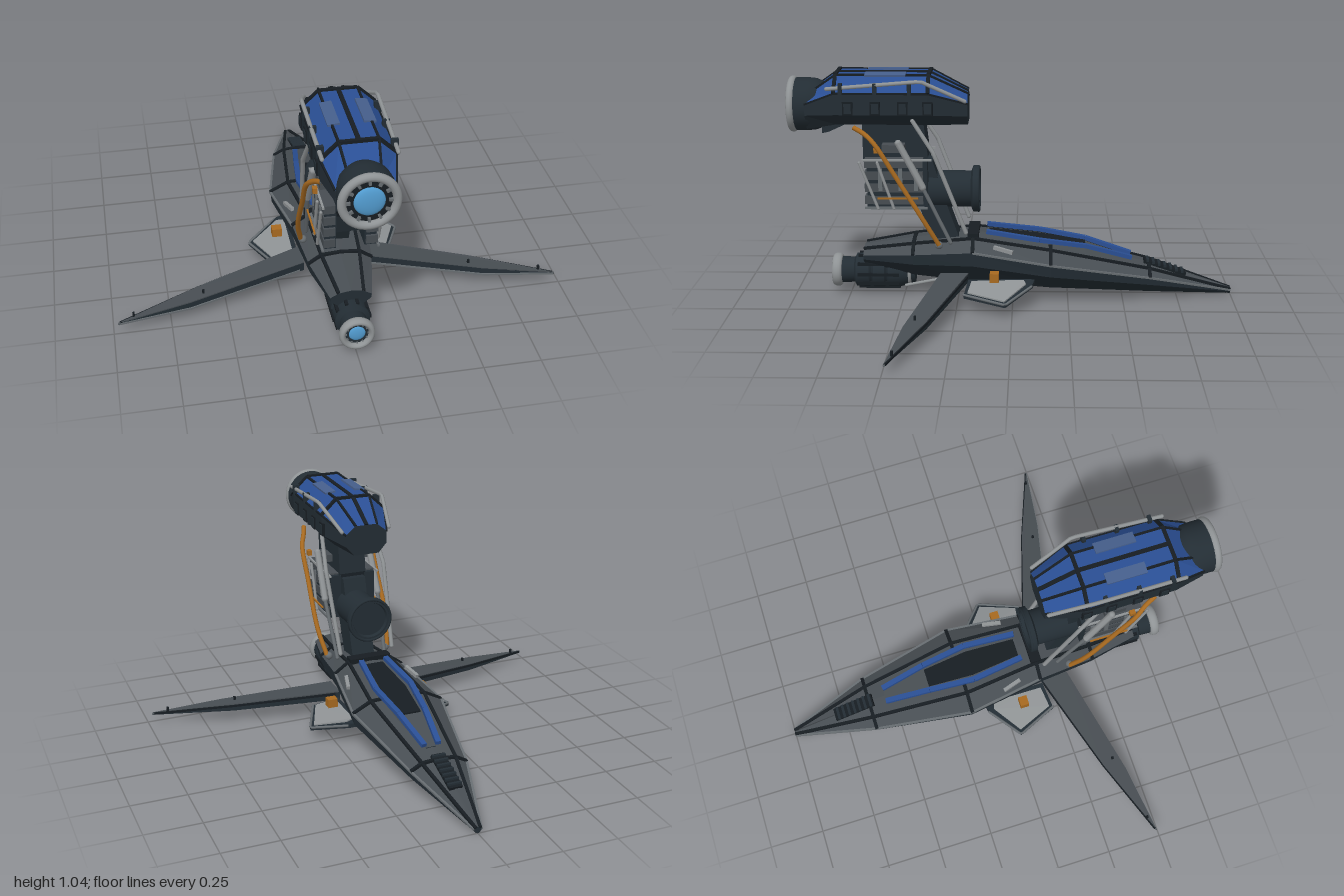
import * as THREE from 'three';
import { toCreasedNormals } from 'three/addons/utils/BufferGeometryUtils.js';

const mat = (name, color) => Object.assign(new THREE.MeshStandardMaterial({ color }), { name });
const dark = mat('dark slate', 0x232d34), grey = mat('hull grey', 0x474d52), black = mat('seam black', 0x171d22);
const blue = mat('blue paint', 0x2a4f94), panel = mat('pale blue panel', 0x465f8c), light = mat('light metal', 0x8f9395);
const orange = mat('orange', 0xa86a20), glow = mat('engine glow', 0x529cd0), steel = mat('mid steel', 0x666c70);
const V = (p) => new THREE.Vector3(...p);

export function createModel() {
  const root = new THREE.Group();
  const add = (name, geo, m, pos = [0, 0, 0]) => {
    const mesh = new THREE.Mesh(geo, m);
    mesh.name = name;
    mesh.position.set(...pos);
    root.add(mesh);
    return mesh;
  };
  const both = (fn) => [1, -1].forEach(fn);
  const box = (name, size, pos, m) => add(name, new THREE.BoxGeometry(...size), m, pos);
  const fromTris = (tris) => {
    const g = new THREE.BufferGeometry();
    g.setAttribute('position', new THREE.Float32BufferAttribute(tris.flat(), 3));
    g.computeVertexNormals();
    return g;
  };
  // straight square bar between two points
  const bar = (name, a, b, m, w = 0.012, h = w) => {
    const p = V(a), q = V(b);
    const mesh = add(name, new THREE.BoxGeometry(w, h, p.distanceTo(q)), m, p.clone().add(q).multiplyScalar(0.5).toArray());
    mesh.lookAt(q);
  };
  const path = (name, pts, m, w, h) => pts.slice(1).forEach((p, i) => bar(name, pts[i], p, m, w, h));
  // round rod along a polyline
  const rod = (name, pts, m, r = 0.008) => {
    const curve = new THREE.CurvePath();
    pts.slice(1).forEach((p, i) => curve.add(new THREE.LineCurve3(V(pts[i]), V(p))));
    add(name, new THREE.TubeGeometry(curve, 12 * (pts.length - 1), r, 7), m);
    both((e) => add(name + 'End', new THREE.SphereGeometry(r, 7, 5), m, e > 0 ? pts[0] : pts[pts.length - 1]));
  };
  const flip = (pts, s) => pts.map(([x, y, z]) => [x * s, y, z]);
  // faceted mirrored loft: half sections run from top centre to bottom centre, one material per strip
  const loft = (name, sections, stripMats, capMat) => {
    const n = sections[0].pts.length;
    const rings = sections.map(({ z, pts }) => [...pts, ...pts.slice(1, -1).reverse().map(([x, y]) => [-x, y])].map(([x, y]) => [x, y, z]));
    const buckets = new Map();
    const put = (m, ...t) => buckets.set(m, [...(buckets.get(m) || []), ...t]);
    const count = rings[0].length;
    for (let i = 0; i < rings.length - 1; i++) for (let j = 0; j < count; j++) {
      const k = (j + 1) % count, a = rings[i][j], b = rings[i][k], c = rings[i + 1][k], d = rings[i + 1][j];
      put(stripMats[j < n - 1 ? j : count - 1 - j], a, d, b, b, d, c);
    }
    const f = rings[0], l = rings[rings.length - 1];
    for (let j = 1; j < count - 1; j++) put(capMat, f[0], f[j], f[j + 1], l[0], l[j + 1], l[j]);
    buckets.forEach((t, m) => add(name, fromTris(t), m));
  };
  // tapered plate: outline points [x, y, z, thickness], counter-clockwise from above
  const plate = (name, outline, s, m) => {
    const o = s > 0 ? outline : [...outline].reverse();
    const top = o.map(([x, y, z]) => [x * s, y, z]), low = o.map(([x, y, z, t]) => [x * s, y - t, z]);
    const tris = [];
    for (let i = 0; i < o.length; i++) {
      const k = (i + 1) % o.length;
      if (i && k) tris.push(top[0], top[i], top[k], low[0], low[k], low[i]);
      tris.push(top[i], low[i], top[k], top[k], low[i], low[k]);
    }
    add(name, fromTris(tris), m);
  };
  // round part along z from [radius, z] points, z ascending
  const turned = (name, pts, m, y) => {
    const g = new THREE.LatheGeometry(pts.map(([r, z]) => new THREE.Vector2(r, z)), 32);
    add(name, toCreasedNormals(g.rotateX(Math.PI / 2), 0.6), m, [0, y, 0]);
  };

  // Main hull: z, half width, top, chine, keel
  const hull = [[-1, 0.016, 0.035, 0.025, 0.008], [-0.62, 0.13, 0.155, 0.12, 0.035], [-0.17, 0.215, 0.255, 0.203, 0.065],
    [0.18, 0.168, 0.3, 0.245, 0.085], [0.45, 0.14, 0.27, 0.225, 0.11], [0.68, 0.09, 0.235, 0.207, 0.155]];
  loft('hull', hull.map(([z, w, t, c, b]) => ({ z, pts: [[0, t], [0.6 * w, t - 0.008], [w, c], [0.97 * w, c - 0.4 * (c - b)], [0.5 * w, b], [0, b - 0.003]] })),
    [grey, grey, dark, dark, dark], dark);
  both((s) => {
    path('hullSeam', hull.map(([z, w, t]) => [s * 0.6 * w, t - 0.006, z]), black, 0.014, 0.012);
    path('chineTrim', hull.slice(0, 4).map(([z, w, , c]) => [s * w, c, z]), steel, 0.01, 0.008);
    hull.slice(1, 5).forEach(([z, w, t, c]) => {
      path('hullCrossSeam', [[0, t, z], [s * 0.6 * w, t - 0.006, z], [s * w, c, z]], black, 0.016, 0.014);
    });
    bar('hullGrip', [s * 0.172, 0.25, 0], [s * 0.15, 0.268, 0.085], light, 0.016);
  });
  const hatch = box('bellyHatch', [0.13, 0.008, 0.13], [0, 0.066, -0.05], black);
  hatch.rotation.set(0.06, Math.PI / 4, 0, 'XYZ');
  box('neckCollar', [0.2, 0.03, 0.05], [0, 0.3, 0.18], black);

  // Ribbed strip on the nose
  bar('noseStrip', [0, 0.1, -0.79], [0, 0.163, -0.6], black, 0.06, 0.02);
  for (let i = 0; i < 7; i++) box('noseRib', [0.062, 0.012, 0.012], [0, 0.116 + i * 0.0088, -0.775 + i * 0.0265], dark);
  add('noseTip', new THREE.SphereGeometry(0.016, 12, 8), black, [0, 0.022, -0.982]);

  // Canopy with blue rails around a dark cockpit
  const canopy = [[-0.54, 0.022, 0.187], [-0.33, 0.052, 0.25], [-0.12, 0.075, 0.283], [0.12, 0.05, 0.315]];
  loft('canopy', canopy.map(([z, w, y]) => ({ z, pts: [[0, y - 0.012], [w, y - 0.012], [w + 0.024, y - 0.06], [0, y - 0.06]] })), [grey, grey, dark], dark);
  loft('cockpitGlass', [[-0.33, 0.042, 0.252], [-0.12, 0.06, 0.28], [0.11, 0.042, 0.309]].map(([z, w, y]) => ({ z, pts: [[0, y - 0.006], [w, y - 0.006], [w, y - 0.014], [0, y - 0.014]] })), [black, black, black], black);
  both((s) => path('canopyRail', canopy.map(([z, w, y]) => [s * (w + 0.011), y, z]), blue, 0.024, 0.018));

  both((s) => {
    // Swept wings: dark core with a grey top skin
    const wing = [[0.14, 0.14, 0.2, 0.04], [0.14, 0.14, 0.325, 0.04], [0.66, 0.085, 0.445, 0.035], [0.978, 0.053, 0.49, 0.01], [0.62, 0.092, 0.35, 0.03]];
    plate('wing', wing, s, dark);
    plate('wingSkin', wing.map(([x, y, z]) => [x, y + 0.003, z, 0.005]), s, grey);
    path('wingTrim', flip([[0.16, 0.104, 0.329], [0.66, 0.055, 0.447], [0.975, 0.048, 0.489]], s), steel, 0.008);
    path('wingLeadingEdge', flip([[0.16, 0.13, 0.205], [0.62, 0.087, 0.351], [0.97, 0.051, 0.486]], s), black, 0.01);
    [[0.91, 0.07, 0.465], [0.6, 0.098, 0.4]].forEach((p) => box('wingPin', [0.01, 0.026, 0.01], [s * p[0], p[1], p[2]], black));
    // Small lower fins with a light top panel
    plate('fin', [[0.15, 0.12, -0.1, 0.02], [0.15, 0.115, 0.2, 0.02], [0.275, 0.085, 0.215, 0.015], [0.35, 0.066, 0.03, 0.012], [0.2, 0.112, -0.09, 0.018]], s, dark);
    plate('finPanel', [[0.17, 0.122, -0.05, 0.006], [0.17, 0.116, 0.185, 0.006], [0.264, 0.095, 0.198, 0.006], [0.33, 0.079, 0.034, 0.006], [0.205, 0.117, -0.06, 0.006]], s, light);
    rod('finEdge', flip([[0.27, 0.085, 0.215], [0.35, 0.068, 0.03], [0.21, 0.105, -0.085]], s), steel, 0.006);
    box('sideLamp', [0.045, 0.04, 0.04], [s * 0.225, 0.155, 0.08], orange);
  });

  // Nozzle face: rim, dark back, glowing core and vanes
  const nozzle = (name, y, z, r, tube, stretch) => {
    add(name + 'Ring', new THREE.TorusGeometry(r, tube, 12, 40).scale(1, 1, stretch), light, [0, y, z]);
    add(name + 'Back', new THREE.CircleGeometry(r, 32), black, [0, y, z - 0.004]);
    add(name + 'Glow', new THREE.SphereGeometry(r * 0.58, 24, 12).scale(1, 1, 0.25), glow, [0, y, z]);
    for (let i = 0; i < 12; i++) {
      const a = i * Math.PI / 6, vane = box(name + 'Vane', [r * 0.2, r * 0.1, 0.015], [Math.cos(a) * r * 0.79, y + Math.sin(a) * r * 0.79, z], steel);
      vane.rotation.z = a;
    }
  };

  // Lower thruster
  turned('lowerThruster', [[0, 0.45], [0.06, 0.45], [0.078, 0.52], [0.078, 0.57], [0.066, 0.58], [0.08, 0.59], [0.08, 0.64], [0.066, 0.65],
    [0.078, 0.66], [0.076, 0.72], [0.058, 0.73], [0.062, 0.81], [0, 0.81]], dark, 0.11);
  for (let i = 0; i < 10; i++) {
    const a = i * Math.PI / 5;
    box('thrusterRib', [0.014, 0.014, 0.19], [Math.cos(a) * 0.077, 0.11 + Math.sin(a) * 0.077, 0.615], black);
  }
  nozzle('lowerNozzle', 0.11, 0.808, 0.063, 0.014, 1.6);
  add('thrusterCollar', new THREE.TorusGeometry(0.066, 0.008, 8, 32), light, [0, 0.11, 0.475]);
  both((s) => rod('thrusterBrace', flip([[0.06, 0.055, 0.49], [0.07, 0.1, 0.28]], s), light, 0.007));

  // Neck, cut from its side profile
  const slab = (name, pts, width, m) => {
    const g = new THREE.ExtrudeGeometry(new THREE.Shape(pts.map((p) => new THREE.Vector2(...p))), { depth: width, bevelEnabled: false });
    add(name, g.translate(0, 0, -width / 2).rotateY(-Math.PI / 2), m);
  };
  slab('neckStrut', [[0.35, 0.25], [0.24, 0.27], [0.31, 0.47], [0.36, 0.64], [0.6, 0.64], [0.55, 0.45], [0.43, 0.44]], 0.11, dark);
  slab('neckHead', [[0.62, 0.58], [0.42, 0.58], [0.38, 0.66], [0.4, 0.84], [0.67, 0.84], [0.67, 0.64]], 0.13, dark);
  both((s) => {
    // Equipment rack
    box('neckRack', [0.05, 0.21, 0.27], [s * 0.085, 0.55, 0.515], dark);
    for (let i = 0; i < 4; i++) box('rackModule', [0.05, 0.038, 0.26], [s * 0.09, 0.475 + i * 0.056, 0.53], grey);
    box('rackCap', [0.05, 0.035, 0.1], [s * 0.09, 0.71, 0.53], grey);
    [0.43, 0.5, 0.59].forEach((z) => box('rackSlat', [0.008, 0.1, 0.018], [s * 0.116, 0.57, z], steel));
    bar('rackTop', [s * 0.118, 0.66, 0.36], [s * 0.118, 0.66, 0.67], light, 0.009);
    bar('rackBottom', [s * 0.118, 0.44, 0.38], [s * 0.118, 0.44, 0.66], steel, 0.01);
    // Struts and hoses beside the neck
    rod('longStrut', flip([[0.13, 0.84, 0.44], [0.145, 0.7, 0.35], [0.13, 0.33, 0.21]], s), light, 0.01);
    rod('damper', flip([[0.13, 0.74, 0.505], [0.135, 0.54, 0.4]], s), light, 0.016);
    rod('damperPiston', flip([[0.135, 0.54, 0.4], [0.12, 0.28, 0.28]], s), steel, 0.009);
    [[0.68, 0.6], [0.6, 0.53]].forEach(([a, b]) => rod('rackBrace', flip([[0.13, 0.65, a], [0.13, 0.44, b]], s), light, 0.007));
    const hose = [[0.13, 0.81, 0.7], [0.15, 0.785, 0.65], [0.173, 0.745, 0.605], [0.177, 0.6, 0.515], [0.177, 0.4, 0.395], [0.155, 0.28, 0.33]];
    add('hose', new THREE.TubeGeometry(new THREE.CatmullRomCurve3(flip(hose, s).map(V)), 32, 0.011, 8), orange);
    bar('hoseClamp', [s * 0.14, 0.49, 0.42], [s * 0.14, 0.49, 0.6], orange, 0.007);
    add('hoseSocket', new THREE.SphereGeometry(0.018, 10, 8), steel, [s * 0.145, 0.275, 0.33]);
    box('strutPin', [0.02, 0.025, 0.025], [s * 0.14, 0.71, 0.6], orange);
  });

  // Rear-facing drum on the neck
  turned('neckDrum', [[0, 0.17], [0.08, 0.17], [0.085, 0.155], [0.106, 0.155], [0.106, 0.18], [0.082, 0.19], [0.085, 0.38], [0, 0.38]], dark, 0.5);
  add('drumRim', new THREE.TorusGeometry(0.1, 0.007, 8, 36), dark, [0, 0.5, 0.157]);

  // Upper engine: z, half width, top, shoulder, side bottom, base
  const pod = [[0.2, 0.1, 0.95, 0.91, 0.855, 0.81], [0.37, 0.155, 1.035, 0.965, 0.87, 0.815], [0.78, 0.152, 1.035, 0.965, 0.87, 0.815], [0.915, 0.12, 0.94, 0.91, 0.86, 0.79]];
  loft('enginePod', pod.map(([z, w, t, sh, l, b]) => ({ z, pts: [[0, t], [0.52 * w, t], [w, sh], [w, l], [0.6 * w, b], [0, b]] })),
    [blue, blue, dark, dark, dark], dark);
  path('podSpine', pod.slice(0, 3).map(([z, , t]) => [0, t, z]), black, 0.018, 0.012);
  both((s) => {
    path('podSeam', pod.map(([z, w, t]) => [s * 0.52 * w, t, z]), black, 0.01, 0.01);
    path('podShoulder', pod.map(([z, w, , sh]) => [s * w, sh, z]), black, 0.008);
    pod.slice(1, 3).forEach(([z, w, t, sh]) => path('podBand', [[0, t, z], [s * 0.52 * w, t, z], [s * w, sh, z]], black, 0.016));
    const inset = box('podPanel', [0.05, 0.009, 0.18], [s * 0.073, 1.037, 0.56], panel);
    inset.rotation.z = -s * 0.12;
    rod('podRail', flip([[0.15, 0.985, 0.81], [0.158, 1.02, 0.4], [0.115, 0.925, 0.21]], s), light, 0.009);
    [0.45, 0.6, 0.75].forEach((z) => box('railMount', [0.03, 0.05, 0.016], [s * 0.148, 0.985, z], dark));
    [0.37, 0.48, 0.6, 0.72].forEach((z) => {
      box('podVentFrame', [0.014, 0.06, 0.045], [s * 0.152, 0.9, z], black);
      box('podVent', [0.02, 0.045, 0.032], [s * 0.152, 0.9, z], dark);
    });
  });

  // Upper nozzle: domed barrel with a chin block
  turned('upperNozzle', [[0, 0.8], [0.06, 0.81], [0.098, 0.84], [0.114, 0.875], [0.118, 0.91], [0.118, 0.975], [0, 0.975]], dark, 0.89);
  slab('nozzleChin', [[0.7, 0.83], [0.85, 0.83], [0.85, 0.768], [0.82, 0.775]], 0.12, dark);
  nozzle('upperNozzle', 0.89, 0.982, 0.108, 0.018, 1);
  return root;
}
